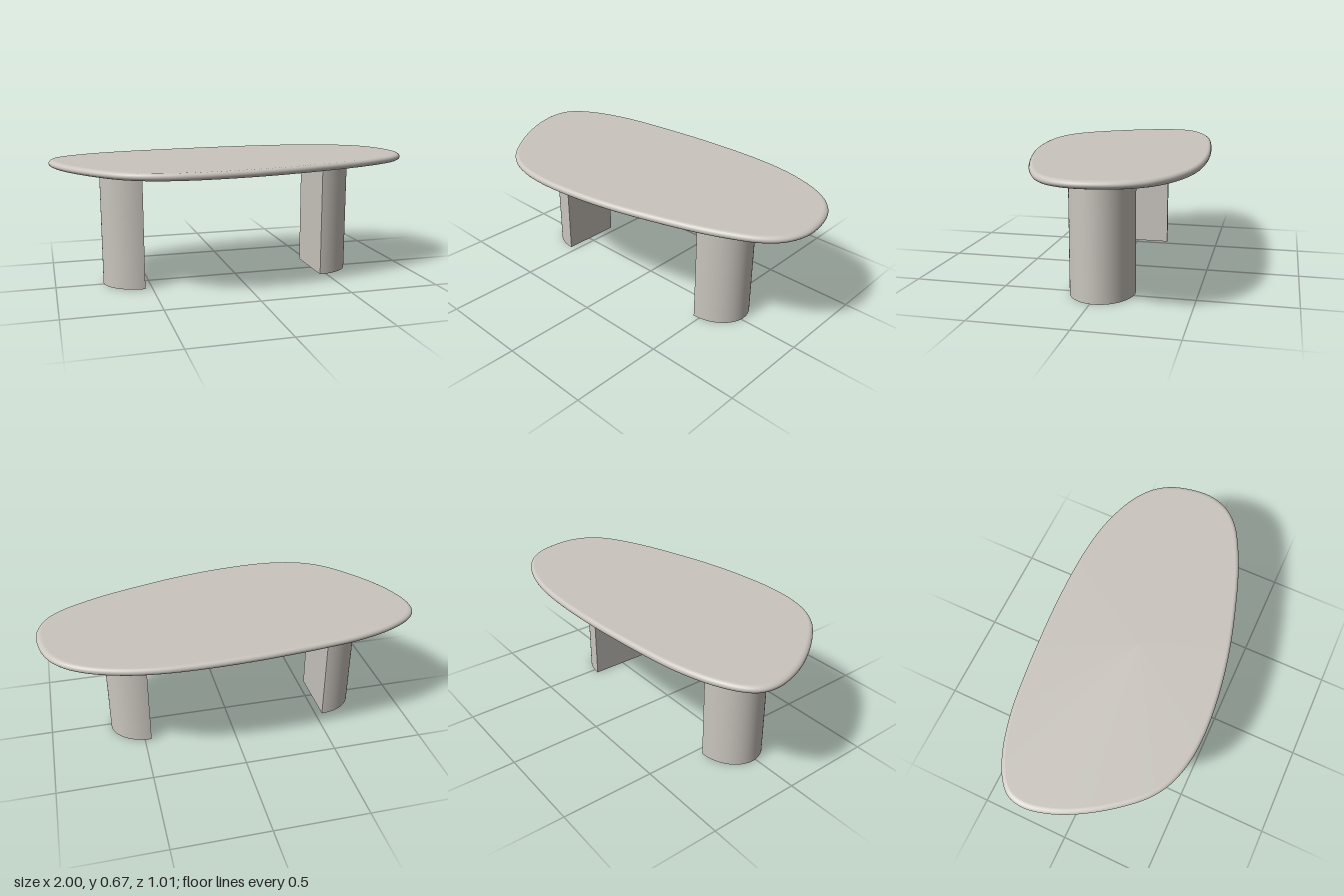
import * as THREE from 'three';

const stone = new THREE.MeshStandardMaterial({ color: 0xcac5be });
stone.name = 'warm grey';

const TOP_Y = 0.672, UNDER_Y = 0.633;

// Organic tabletop outline as x, z pairs, clockwise seen from above
const OUTLINE = [
  -1, -0.15, -0.985, -0.24, -0.93, -0.305, -0.8, -0.377, -0.6, -0.436, -0.4, -0.466,
  -0.2, -0.487, 0, -0.502, 0.25, -0.508, 0.46, -0.497, 0.62, -0.468, 0.78, -0.41,
  0.89, -0.335, 0.96, -0.235, 0.995, -0.1, 0.995, 0, 0.955, 0.105, 0.877, 0.185,
  0.754, 0.254, 0.6, 0.318, 0.4, 0.382, 0.2, 0.436, 0, 0.475, -0.2, 0.497,
  -0.32, 0.5, -0.45, 0.489, -0.583, 0.452, -0.69, 0.388, -0.797, 0.275,
  -0.904, 0.12, -0.968, -0.013,
];

// Slab swept from rings around the outline, with a rounded rim
function tabletopGeometry() {
  const knots = [];
  for (let i = 0; i < OUTLINE.length; i += 2) knots.push(new THREE.Vector3(OUTLINE[i], 0, OUTLINE[i + 1]));
  const curve = new THREE.CatmullRomCurve3(knots, true);
  const N = 180, R = 12;
  const half = (TOP_Y - UNDER_Y) / 2, midY = (TOP_Y + UNDER_Y) / 2;
  const pos = [], index = [];

  for (let j = 0; j <= R; j++) {
    const a = -Math.PI / 2 + (Math.PI * j) / R;
    const inset = 1 - Math.cos(a);
    for (let i = 0; i < N; i++) {
      const p = curve.getPointAt(i / N), t = curve.getTangentAt(i / N);
      // outward normal is (t.z, -t.x)
      pos.push(p.x - t.z * 0.03 * inset, midY + half * Math.sin(a), p.z + t.x * 0.02 * inset);
    }
  }
  for (let j = 0; j < R; j++) {
    for (let i = 0; i < N; i++) {
      const k = (i + 1) % N;
      const a = j * N + i, b = j * N + k, c = a + N, d = b + N;
      index.push(a, c, b, b, c, d);
    }
  }
  // flat top and underside
  const under = pos.length / 3, over = under + 1;
  pos.push(0, UNDER_Y, 0, 0, TOP_Y, 0);
  for (let i = 0; i < N; i++) {
    const k = (i + 1) % N;
    index.push(under, i, k, over, R * N + k, R * N + i);
  }
  const g = new THREE.BufferGeometry();
  g.setAttribute('position', new THREE.Float32BufferAttribute(pos, 3));
  g.setIndex(index);
  g.computeVertexNormals();
  return g;
}

// Half-oval column: curved side outward, flat side towards the middle
function createLeg(name, x, turn) {
  const depth = 0.205, halfWidth = 0.169, h = UNDER_Y + 0.003;
  const leg = new THREE.Group();
  leg.name = name;
  const curved = new THREE.Mesh(
    new THREE.CylinderGeometry(1, 1, h, 64, 1, false, 0, Math.PI).scale(depth, 1, halfWidth), stone);
  curved.name = 'curvedSide';
  const flat = new THREE.Mesh(new THREE.PlaneGeometry(halfWidth * 2, h).rotateY(-Math.PI / 2), stone);
  flat.name = 'flatSide';
  leg.add(curved, flat);
  leg.position.set(x, h / 2, -0.019);
  leg.rotation.y = turn;
  return leg;
}

export function createModel() {
  const table = new THREE.Group();
  table.name = 'table';
  const top = new THREE.Mesh(tabletopGeometry(), stone);
  top.name = 'tabletop';
  table.add(top, createLeg('leftLeg', 0.464, 0), createLeg('rightLeg', -0.539, Math.PI));
  return table;
}
